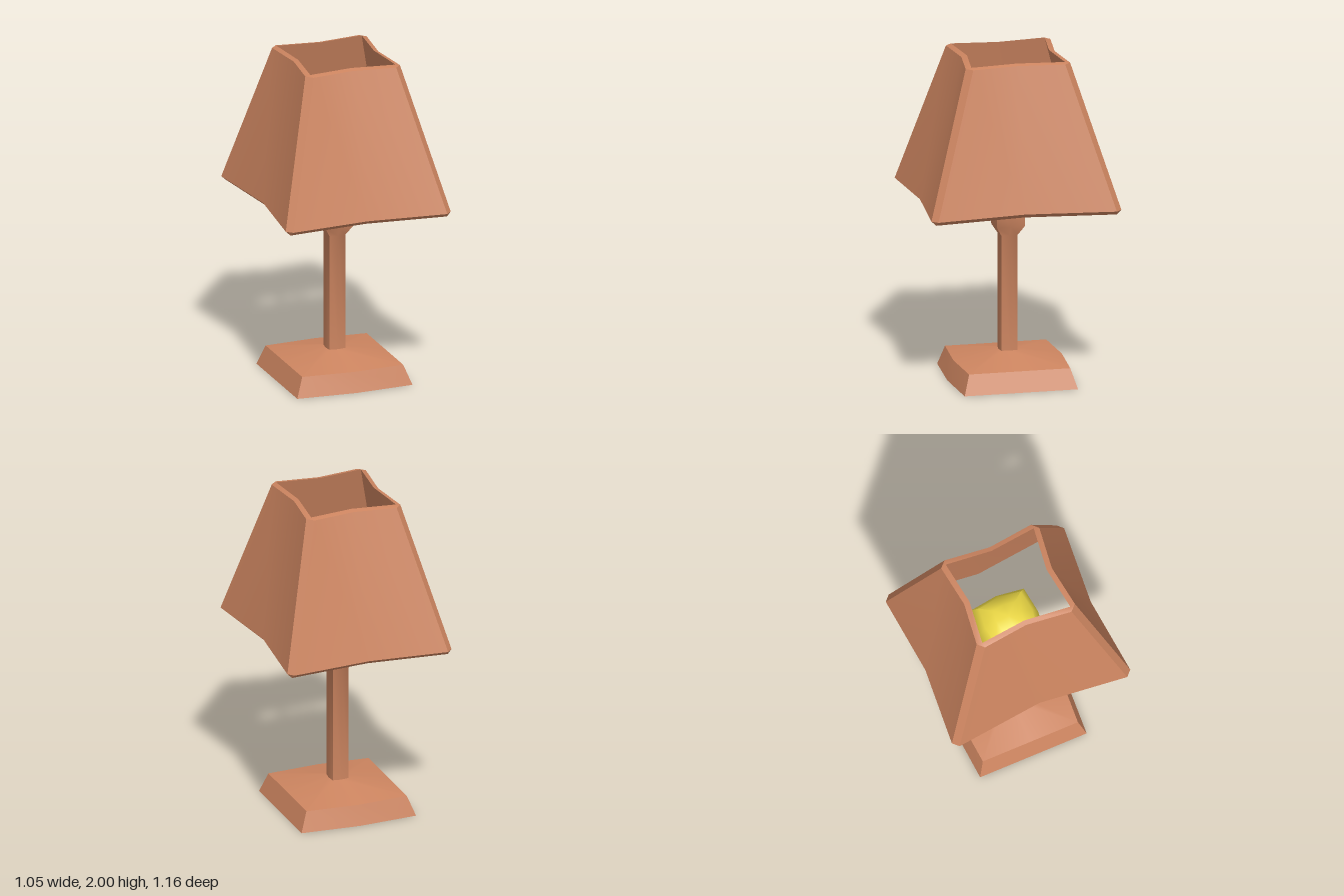
import * as THREE from 'three';
import { toCreasedNormals } from 'three/addons/utils/BufferGeometryUtils.js';

const wood = new THREE.MeshStandardMaterial({ color: 0xcd8560 });
const glow = new THREE.MeshStandardMaterial({ color: 0xf0dc46 });

// Squarish cross-section: corner (x, z), side middles (mx, mz), cut = corner chamfer [cx, cz]
function ring(y, x, z, mx = x, mz = z, cut = [0, 0]) {
  const points = [];
  const add = (px, pz) => points.push(new THREE.Vector3(px, y, pz));
  add(mx, 0); add(x, z - cut[1]); add(x - cut[0], z);
  add(0, mz); add(-x + cut[0], z); add(-x, z - cut[1]);
  add(-mx, 0); add(-x, -z + cut[1]); add(-x + cut[0], -z);
  add(0, -mz); add(x - cut[0], -z); add(x, -z + cut[1]);
  return points;
}

// Skin a list of rings, skipping collapsed triangles; creases stay sharp
function loft(name, rings, material) {
  const positions = [];
  const triangle = (a, b, c) => {
    const area = b.clone().sub(a).cross(c.clone().sub(a)).length();
    if (area > 1e-8) for (const p of [a, b, c]) positions.push(p.x, p.y, p.z);
  };
  for (let k = 0; k < rings.length - 1; k++) {
    const lo = rings[k], hi = rings[k + 1], n = lo.length;
    for (let i = 0; i < n; i++) {
      const j = (i + 1) % n;
      triangle(lo[i], hi[i], hi[j]);
      triangle(lo[i], hi[j], lo[j]);
    }
  }
  const geometry = new THREE.BufferGeometry();
  geometry.setAttribute('position', new THREE.Float32BufferAttribute(positions, 3));
  const mesh = new THREE.Mesh(toCreasedNormals(geometry, 0.7), material);
  mesh.name = name;
  return mesh;
}

// Square bar between two points
function bar(name, from, to, size) {
  const mesh = new THREE.Mesh(new THREE.BoxGeometry(size, size, from.distanceTo(to)), wood);
  mesh.position.copy(from).lerp(to, 0.5);
  mesh.lookAt(to);
  mesh.name = name;
  return mesh;
}

export function createModel() {
  const lamp = new THREE.Group();
  lamp.name = 'tableLamp';

  // Foot, post, bulb and struts share a slightly offset axis
  const stand = new THREE.Group();
  stand.name = 'stand';
  stand.position.x = -0.01;
  lamp.add(stand);

  // Foot with bowed front and back and a shallow sloping top
  stand.add(loft('base', [
    ring(0, 0, 0),
    ring(0, 0.365, 0.345, 0.365, 0.368),
    ring(0.12, 0.32, 0.308, 0.32, 0.33),
    ring(0.175, 0.05, 0.05, 0.057, 0.057),
  ], wood));

  // Post flaring into the bulb socket
  stand.add(loft('post', [
    ring(0.17, 0.05, 0.05, 0.057, 0.057),
    ring(0.885, 0.05, 0.05, 0.057, 0.057),
    ring(0.945, 0.085, 0.085, 0.094, 0.097),
    ring(1.07, 0.085, 0.085, 0.094, 0.097),
    ring(1.07, 0, 0),
  ], wood));

  // Rounded, boxy bulb
  stand.add(loft('bulb', [
    ring(1.07, 0.085, 0.085, 0.094, 0.097),
    ring(1.1, 0.088, 0.088, 0.1, 0.104),
    ring(1.19, 0.165, 0.17, 0.188, 0.19),
    ring(1.37, 0.165, 0.17, 0.188, 0.19),
    ring(1.45, 0.13, 0.135, 0.15, 0.152),
    ring(1.49, 0.07, 0.07, 0.08, 0.08),
    ring(1.5, 0, 0),
  ], glow));

  // Struts rising from the socket to the front and back of the shade
  for (const side of [1, -1]) {
    stand.add(bar(side > 0 ? 'frontStrut' : 'backStrut',
      new THREE.Vector3(0, 1.035, side * 0.08), new THREE.Vector3(0, 1.19, side * 0.485), 0.028));
  }

  // Hollow shade: outer wall, top rim, inner wall, bottom rim
  const outerBottom = ring(1.13, 0.523, 0.578, 0.463, 0.536, [0.035, 0.035]);
  lamp.add(loft('shade', [
    outerBottom,
    ring(1.992, 0.3, 0.318, 0.268, 0.284, [0.038, 0.038]),
    ring(2, 0.27, 0.285, 0.24, 0.25),
    ring(1.105, 0.496, 0.55, 0.437, 0.506),
    outerBottom,
  ], wood));

  return lamp;
}
